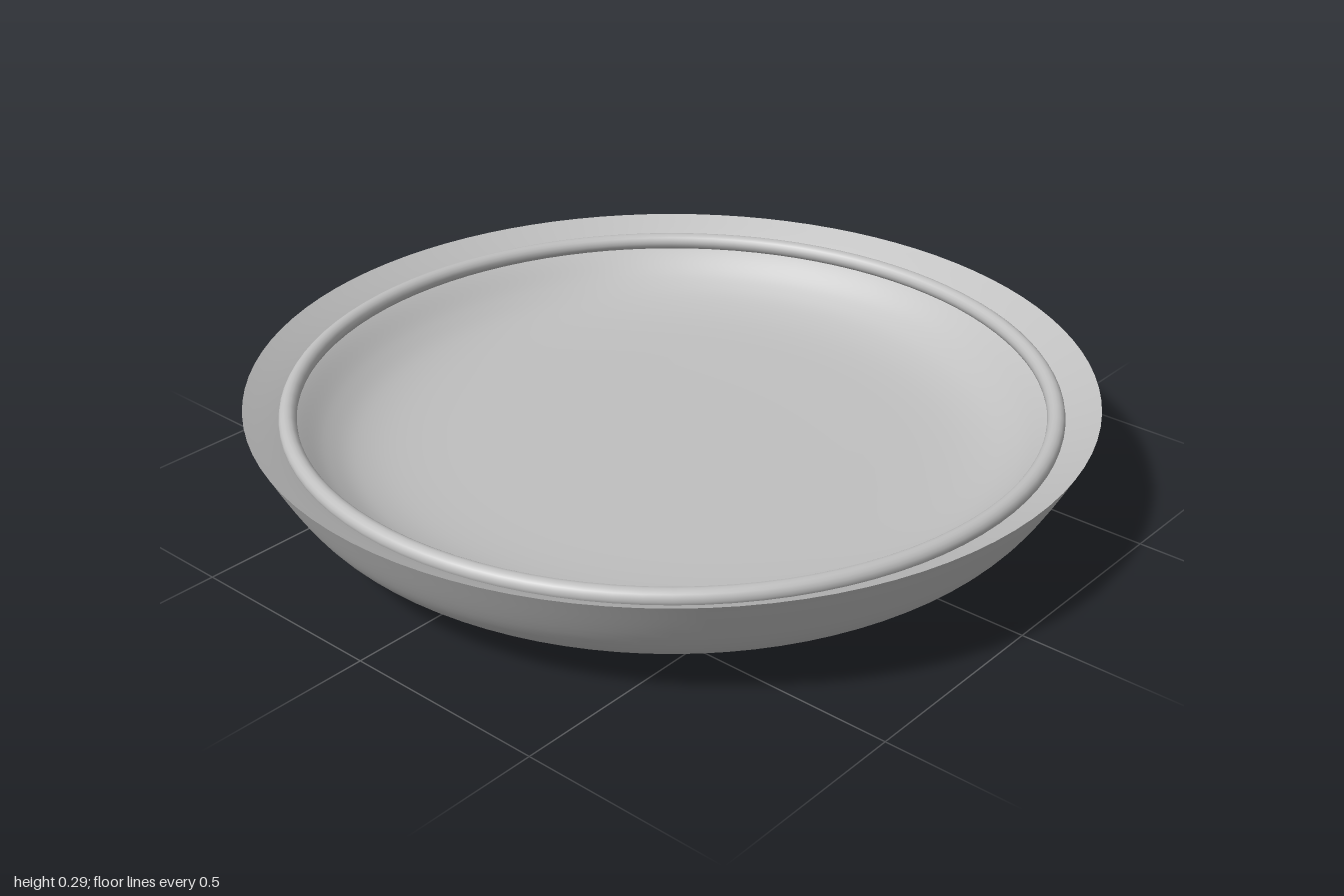
import * as THREE from 'three';

const SEGMENTS = 96;

export function createModel() {
  const model = new THREE.Group();
  model.name = 'shallowDish';
  const grey = new THREE.MeshStandardMaterial({ color: 0xc0c0c0 });
  grey.name = 'plain grey';

  // Revolves a smooth curve drawn through [radius, height] points
  function addShell(name, points) {
    const curve = new THREE.SplineCurve(points.map(([r, y]) => new THREE.Vector2(r, y)));
    const profile = curve.getPoints(40);
    profile.forEach((p) => { p.x = Math.max(p.x, 0); });
    const mesh = new THREE.Mesh(new THREE.LatheGeometry(profile, SEGMENTS), grey);
    mesh.name = name;
    model.add(mesh);
  }

  function addRing(name, radius, tube, y) {
    const geometry = new THREE.TorusGeometry(radius, tube, 16, SEGMENTS);
    geometry.rotateX(Math.PI / 2);
    const mesh = new THREE.Mesh(geometry, grey);
    mesh.name = name;
    mesh.position.y = y;
    model.add(mesh);
  }

  // Outer wall, from the slightly hollow underside up to the rim
  addShell('outerBowl', [
    [0, 0.062], [0.25, 0.055], [0.5, 0.05], [0.7, 0.053], [0.8, 0.063],
    [0.87, 0.098], [0.93, 0.165], [1, 0.293],
  ]);

  // Inner wall, from the sharp rim down to the floor
  addShell('innerBowl', [
    [1, 0.293], [0.9, 0.236], [0.82, 0.175], [0.74, 0.138],
    [0.62, 0.12], [0.4, 0.115], [0, 0.113],
  ]);

  // Raised ring inside the rim and foot ring below
  addRing('innerRing', 0.9, 0.021, 0.255);
  addRing('footRing', 0.327, 0.017, 0.017);

  return model;
}
